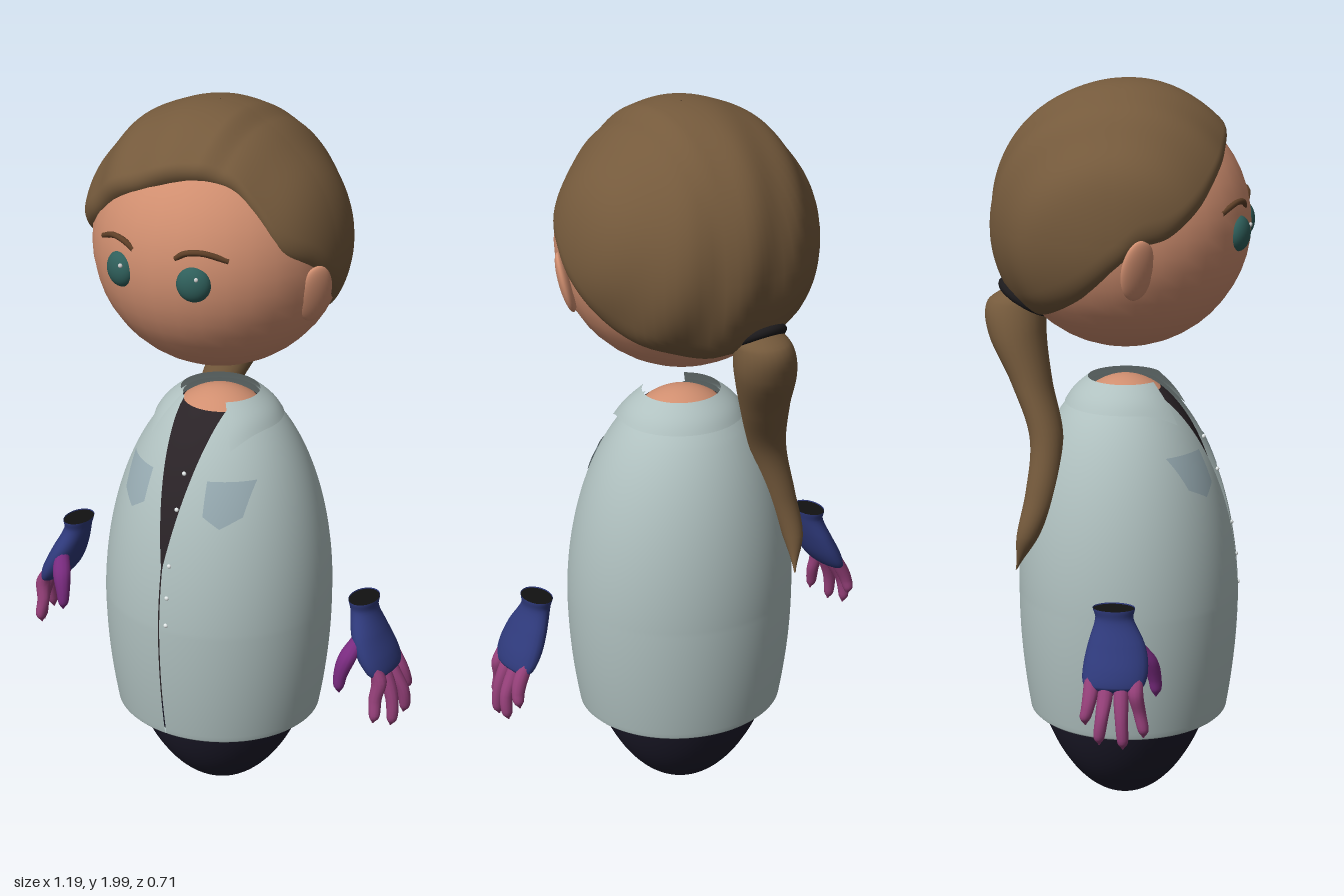
import * as THREE from 'three';
import { ParametricGeometry } from 'three/addons/geometries/ParametricGeometry.js';

const SKIN = 0xd18f70, HAIR = 0x755a3c, CLOTH = 0xb0c1c0, DARK = 0x1d1b2b;
const HEAD = new THREE.Vector3(0, 1.62, 0.02), HEAD_R = 0.333;
const { clamp, lerp, smoothstep, degToRad } = THREE.MathUtils;

function mesh(name, geometry, color) {
  const m = new THREE.Mesh(geometry, new THREE.MeshStandardMaterial({ color, side: THREE.DoubleSide }));
  m.name = name;
  return m;
}

// Smooth surface from fn(u, v) => [x, y, z]
function surface(name, color, nu, nv, fn) {
  return mesh(name, new ParametricGeometry((u, v, p) => p.set(...fn(u, v)), nu, nv), color);
}

// Upright tapering form; rows of [x, y, z, radiusX, radiusZ] run from top to bottom
function column(name, color, rows, nu = 16, nv = 28) {
  const path = new THREE.CatmullRomCurve3(rows.map(r => new THREE.Vector3(r[0], r[1], r[2])));
  const size = new THREE.SplineCurve(rows.map(r => new THREE.Vector2(r[3], r[4])));
  return surface(name, color, nu, nv, (u, v) => {
    const t = clamp(1 - v, 0, 1), a = u * Math.PI * 2;
    const p = path.getPoint(t), s = size.getPoint(t);
    return [p.x + s.x * Math.sin(a), p.y, p.z + s.y * Math.cos(a)];
  });
}

function ball(name, color, pos, scale, rot = [0, 0, 0]) {
  const m = mesh(name, new THREE.SphereGeometry(1, 32, 24), color);
  m.position.set(...pos);
  m.scale.set(...scale);
  m.rotation.set(...rot);
  return m;
}

// Jacket outline: radius at a height, and a point on its surface
function jacketRadius(y) {
  return y > 0.6 ? 0.318 * Math.sqrt(Math.max(0, 1 - ((y - 0.6) / 0.615) ** 2))
    : 0.318 - 0.03 * ((0.6 - y) / 0.33) ** 2;
}
const jacketCentre = y => 0.03 - 0.015 * clamp((y - 0.6) / 0.5, 0, 1);
const jacketPoint = (a, y, r) => [r * Math.sin(a), y, jacketCentre(y) + 0.945 * r * Math.cos(a)];
function jacketFront(x, y, lift) {
  const r = jacketRadius(y);
  return jacketCentre(y) + 0.945 * Math.sqrt(Math.max(0, r * r - x * x)) + lift;
}

function buildBody() {
  const g = new THREE.Group();
  g.name = 'body';
  // Egg-shaped core split into trousers, shirt and neck
  const cuts = [['neck', SKIN, 1.21, 1.165], ['shirt', 0x2a2327, 1.165, 0.34], ['trousers', DARK, 0.34, 0]];
  for (const [name, color, top, bottom] of cuts) {
    const t0 = Math.acos(clamp((top - 0.6) / 0.6, -1, 1)), t1 = Math.acos(clamp((bottom - 0.6) / 0.6, -1, 1));
    const part = mesh(name, new THREE.SphereGeometry(1, 48, 32, 0, Math.PI * 2, t0, t1 - t0), color);
    part.scale.set(0.3, 0.6, 0.283);
    part.position.set(0, 0.602, 0.02);
    g.add(part);
  }
  // Jacket with an open neckline and a turned-in hem
  g.add(surface('jacket', CLOTH, 96, 64, (u, v) => {
    const t = clamp(v / 0.05, 0, 1);
    const y = v < 0.05 ? 0.255 + 0.012 * t * t : lerp(0.267, 1.18, (v - 0.05) / 0.95);
    const r = v < 0.05 ? lerp(0.25, jacketRadius(0.267), Math.sin(t * Math.PI / 2)) : jacketRadius(y);
    const gap = Math.asin(clamp((0.002 + 0.068 * Math.max(0, (y - 0.78) / 0.4)) / r, 0, 1));
    return jacketPoint(-0.02 + gap + u * (Math.PI * 2 - 2 * gap), y, r);
  }));
  // Folded collar with points at the front
  g.add(surface('collar', CLOTH, 64, 10, (u, v) => {
    const a = lerp(0.65, Math.PI * 2 - 0.65, u);
    const k = Math.max(0, Math.cos(a) / Math.cos(0.65)) ** 4;
    const low = 1.13 - 0.035 * k;
    const r = lerp(jacketRadius(low) + 0.012, 0.108, v) + 0.008 * Math.sin(v * Math.PI);
    const p = jacketPoint(a, lerp(low, 1.198, v), r);
    p[2] += 0.006;
    return p;
  }));
  // Shield-shaped chest pockets following the jacket
  for (const s of [-1, 1]) {
    g.add(surface(s > 0 ? 'leftPocket' : 'rightPocket', 0x97abb2, 10, 10, (u, v) => {
      const w = lerp(0.046, 0.053, v);
      const x = s * 0.137 + (u - 0.5) * 2 * w;
      const bottom = 0.905 + 0.03 * Math.abs(u - 0.5) * 2;
      const y = lerp(bottom, 1.022, v);
      return [x, y, jacketFront(x, y, 0.005)];
    }));
  }
  for (const y of [1.03, 0.94, 0.79, 0.7, 0.62]) {
    g.add(ball('button', 0xe4eaea, [0.016, y, jacketFront(0.016, y, 0)], [0.006, 0.006, 0.005]));
  }
  return g;
}

// Hairline as [azimuth from the front, elevation] in degrees
const hairline = new THREE.SplineCurve([
  [-180, -49], [-145, -45], [-110, -31], [-88, -12], [-78, -3], [-65, 1], [-50, 12], [-29, 29], [0, 41], [20, 44],
  [38, 40], [49, 28], [60, 10], [76, 0], [88, -12], [110, -31], [145, -45], [180, -49],
].map(p => new THREE.Vector2(...p)));

function buildHair() {
  const g = new THREE.Group();
  g.name = 'hair';
  g.add(surface('hairCap', HAIR, 128, 64, (u, v) => {
    const line = hairline.getPoint(clamp(u, 0, 1));
    const a = degToRad(line.x), e = lerp(degToRad(line.y), Math.PI / 2 - 0.004, v);
    const d = [Math.cos(e) * Math.sin(a), Math.sin(e), Math.cos(e) * Math.cos(a)];
    const up = Math.max(0, d[1]), front = smoothstep(d[2], -0.5, 0.4);
    // Swept side raised above the parting, with soft locks
    const swept = 1 - smoothstep(d[0], 0.2, 0.38);
    let r = 0.342 + 0.018 * up * up + 0.018 * swept * lerp(0.5, 1, front) * (0.35 + 0.65 * up);
    r += 0.012 * Math.max(0, -d[2]) + 0.006 * Math.max(0, -d[0]);
    r += 0.004 * Math.sin(d[0] * 14 + d[1] * 3) * (1 - up ** 6);
    const t = clamp(v / 0.12, 0, 1);
    r = lerp(0.322, r, Math.sqrt(Math.max(0, 1 - (1 - t) ** 2)));
    return [HEAD.x + r * d[0], HEAD.y + r * d[1], HEAD.z + r * d[2]];
  }));
  // Ponytail sweeping round the back to one side
  g.add(column('ponytail', HAIR, [
    [-0.05, 1.455, -0.225, 0.05, 0.05], [-0.055, 1.41, -0.262, 0.075, 0.08], [-0.068, 1.33, -0.262, 0.085, 0.078],
    [-0.1, 1.2, -0.22, 0.07, 0.055], [-0.145, 1.06, -0.175, 0.052, 0.045], [-0.18, 0.92, -0.185, 0.042, 0.042],
    [-0.2, 0.8, -0.22, 0.028, 0.03], [-0.185, 0.7, -0.254, 0.002, 0.002],
  ], 24, 48));
  const tie = mesh('hairTie', new THREE.TorusGeometry(0.068, 0.014, 12, 32), 0x1c1a1c);
  tie.position.set(-0.052, 1.42, -0.242);
  tie.lookAt(-0.052, 1.42 - 0.84, -0.242 - 0.54);
  g.add(tie);
  return g;
}

function buildHead() {
  const g = new THREE.Group();
  g.name = 'head';
  g.add(ball('face', SKIN, HEAD.toArray(), [HEAD_R, HEAD_R, HEAD_R]));
  for (const s of [-1, 1]) {
    const side = s > 0 ? 'left' : 'right';
    g.add(ball(side + 'Eye', 0x2f5f5b, [s * 0.108, 1.612, 0.325], [0.045, 0.047, 0.03], [0, s * 0.33, 0]));
    g.add(ball(side + 'EyeGlint', 0xffffff, [s * 0.108 + 0.018, 1.632, 0.35 - s * 0.006], [0.006, 0.006, 0.005]));
    g.add(ball(side + 'Ear', SKIN, [s * 0.318, 1.55, 0.085], [0.018, 0.083, 0.047], [0, -s * 0.6, -s * 0.25]));
    // Eyebrow arched over the face surface
    const arc = [[0.062, 1.675, -0.006], [0.09, 1.692, 0.003], [0.13, 1.695, 0.003], [0.185, 1.674, -0.006]];
    const path = new THREE.CatmullRomCurve3(arc.map(([x, y, lift]) => new THREE.Vector3(s * x, y,
      HEAD.z + lift + Math.sqrt(HEAD_R ** 2 - x * x - (y - HEAD.y) ** 2))));
    g.add(mesh(side + 'Eyebrow', new THREE.TubeGeometry(path, 20, 0.008, 8), 0x5f4028));
  }
  return g;
}

function buildHand(name) {
  const g = new THREE.Group();
  g.name = name;
  // Palm from open wrist to knuckles
  g.add(column('palm', 0x2f3a7c, [
    [0.46, 0.7, 0.04, 0.038, 0.055], [0.463, 0.67, 0.042, 0.034, 0.05], [0.485, 0.61, 0.05, 0.04, 0.074],
    [0.51, 0.555, 0.05, 0.042, 0.084], [0.53, 0.515, 0.047, 0.032, 0.078], [0.54, 0.495, 0.047, 0.008, 0.05],
  ], 24));
  const cuff = mesh('wristOpening', new THREE.CircleGeometry(1, 24), 0x111111);
  cuff.rotation.x = -Math.PI / 2;
  cuff.scale.set(0.037, 0.054, 1);
  cuff.position.set(0.46, 0.697, 0.04);
  g.add(cuff);
  // Fingers: knuckle z, tip z, tip x, tip y
  const fingers = [[0.105, 0.125, 0.54, 0.378], [0.068, 0.075, 0.568, 0.355], [0.028, 0.015, 0.575, 0.368], [-0.01, -0.022, 0.56, 0.415]];
  for (const [z0, z1, x, y] of fingers) {
    g.add(column('finger', 0x96407a, [
      [0.515, 0.555, z0, 0.018, 0.018], [0.545, 0.5, z0, 0.021, 0.02], [x, lerp(0.5, y, 0.45), lerp(z0, z1, 0.5), 0.018, 0.017],
      [x + 0.004, y + 0.02, z1, 0.014, 0.014], [x, y, z1, 0.002, 0.002],
    ], 12, 20));
  }
  g.add(column('thumb', 0x7a2b80, [
    [0.48, 0.61, 0.1, 0.02, 0.02], [0.462, 0.56, 0.13, 0.026, 0.024], [0.449, 0.505, 0.145, 0.019, 0.018],
    [0.447, 0.475, 0.148, 0.014, 0.014], [0.448, 0.456, 0.148, 0.002, 0.002],
  ], 12, 20));
  return g;
}

export function createModel() {
  const model = new THREE.Group();
  model.name = 'figure';
  const rightHand = buildHand('rightHand');
  rightHand.scale.x = -1;
  model.add(buildBody(), buildHead(), buildHair(), buildHand('leftHand'), rightHand);
  return model;
}
